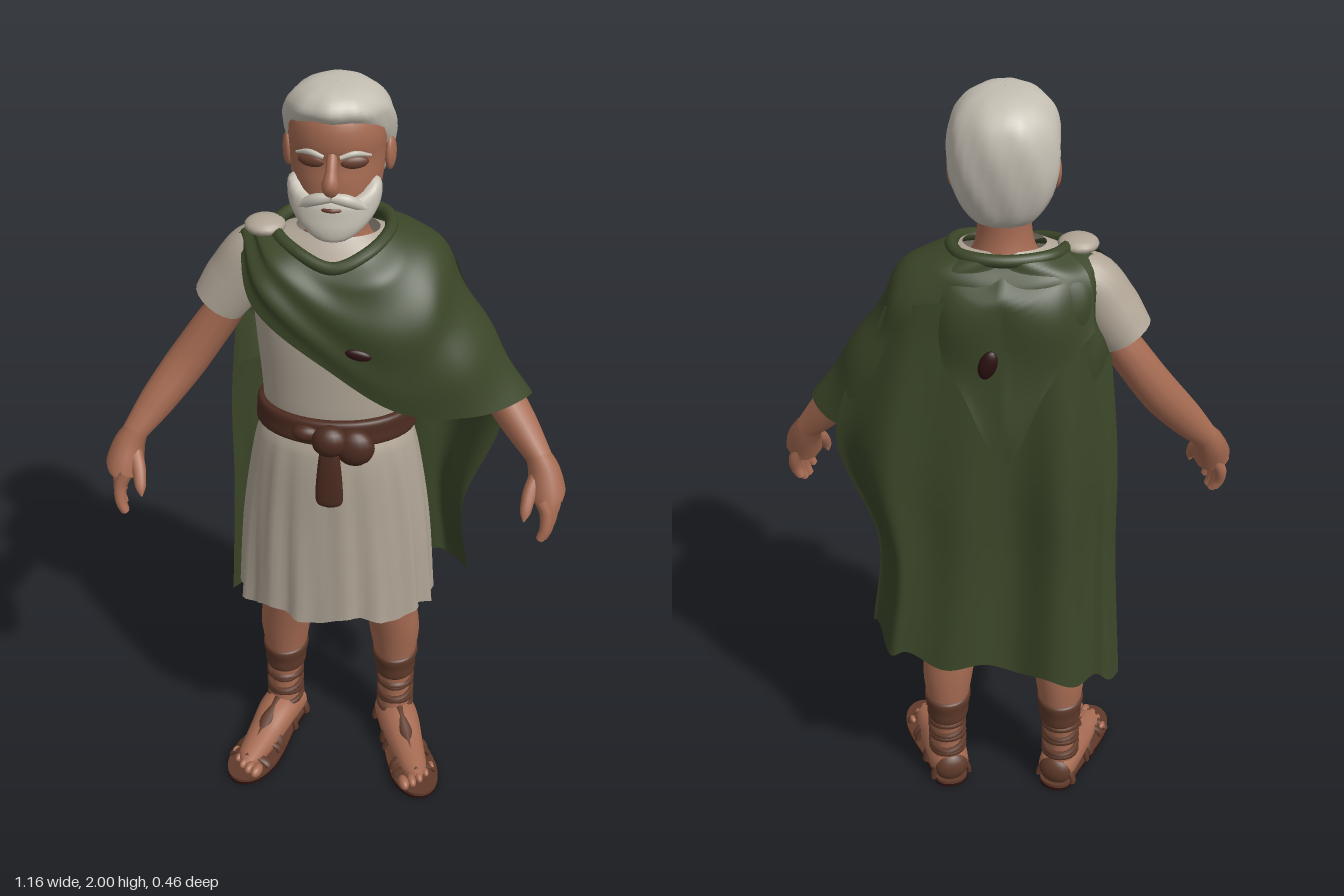
import * as THREE from 'three';
import { mergeVertices } from 'three/addons/utils/BufferGeometryUtils.js';

const V = (x, y, z) => new THREE.Vector3(x, y, z);
const mat = (name, color, side = THREE.FrontSide) => {
  const m = new THREE.MeshStandardMaterial({ color, side });
  m.name = name;
  return m;
};

export function createModel() {
  const M = {
    skin: mat('skin', 0xa66b52),
    eye: mat('eye shadow', 0x693f2f),
    hair: mat('white hair', 0xc4beb2),
    linen: mat('linen', 0xb0a596, THREE.DoubleSide),
    wool: mat('green wool', 0x3b4628, THREE.DoubleSide),
    belt: mat('belt leather', 0x4b2b20),
    strap: mat('sandal leather', 0x5f3a2a),
    sole: mat('dark sole', 0x2c1010),
  };
  const model = new THREE.Group();
  const add = (name, geo, m, parent = model) => {
    const mesh = new THREE.Mesh(geo, m);
    mesh.name = name;
    parent.add(mesh);
    return mesh;
  };

  // Surface from a rule f(u, v); v runs downwards
  function sheet(f, nu, nv) {
    const g = new THREE.PlaneGeometry(1, 1, nu, nv);
    const p = g.attributes.position;
    for (let j = 0, k = 0; j <= nv; j++) {
      for (let i = 0; i <= nu; i++, k++) {
        const q = f(i / nu, j / nv);
        p.setXYZ(k, q.x, q.y, q.z);
      }
    }
    g.deleteAttribute('uv');
    g.deleteAttribute('normal');
    const merged = mergeVertices(g, 1e-5);
    merged.computeVertexNormals();
    return merged;
  }
  // Elliptical rings, top to bottom: [y, half width, front z, back z, centre x]
  function loft(rings, nu = 28, nv = 24, rule = (q) => q) {
    const curve = (f) => new THREE.CatmullRomCurve3(rings.map(f), false, 'centripetal');
    const cols = Array.from({ length: nu }, (_, i) => {
      const a = (i / nu) * Math.PI * 2;
      return curve(([y, r, f, b, cx = 0]) => V(cx + r * Math.sin(a), y, (f + b) / 2 + ((f - b) / 2) * Math.cos(a)));
    });
    return sheet((u, v) => rule(cols[Math.round(u * nu) % nu].getPoint(v), u * Math.PI * 2, v), nu, nv);
  }
  // Draped cloth through columns of points, each listed top to bottom
  function drape(columns, nu, nv, rule) {
    const cols = columns.map((c) => new THREE.CatmullRomCurve3(c.map((p) => V(...p))));
    const rows = Array.from({ length: nv + 1 }, (_, j) => new THREE.CatmullRomCurve3(cols.map((c) => c.getPoint(j / nv))));
    return sheet((u, v) => rule(rows[Math.round(v * nv)].getPoint(u), u, v), nu, nv);
  }
  // Tapered tube: [x, y, z, radius] along a path
  function limb(pts, sides = 14, seg = 20) {
    const curve = new THREE.CatmullRomCurve3(pts.map(([x, y, z]) => V(x, y, z)));
    const radius = new THREE.CatmullRomCurve3(pts.map((p) => V(p[3], 0, 0)));
    const g = new THREE.TubeGeometry(curve, seg, 1, sides);
    const p = g.attributes.position, q = new THREE.Vector3();
    for (let i = 0; i < p.count; i++) {
      const t = Math.floor(i / (sides + 1)) / seg;
      const c = curve.getPointAt(t), r = radius.getPoint(curve.getUtoTmapping(t)).x;
      q.fromBufferAttribute(p, i).sub(c).multiplyScalar(r).add(c);
      p.setXYZ(i, q.x, q.y, q.z);
    }
    return g;
  }
  const ball = (name, m, pos, size, parent) => {
    const b = add(name, new THREE.SphereGeometry(1, 16, 12), m, parent);
    b.position.set(...pos);
    b.scale.set(...size);
    return b;
  };

  // Head and neck
  add('neck', loft([[1.74, .065, .07, -.07], [1.66, .066, .065, -.07], [1.61, .08, .07, -.08], [1.57, .12, .08, -.09]]), M.skin);
  add('face', loft([[1.98, .01, .02, 0], [1.965, .07, .1, -.07], [1.93, .104, .126, -.1], [1.88, .113, .132, -.1],
    [1.84, .111, .124, -.1], [1.79, .108, .13, -.1], [1.74, .1, .13, -.08], [1.7, .085, .125, -.05], [1.67, .04, .1, 0]]), M.skin);
  add('hair', loft([[2, .001, .026, .024], [1.996, .05, .09, -.045], [1.98, .088, .122, -.085], [1.955, .113, .134, -.112],
    [1.925, .126, .112, -.126], [1.88, .131, .075, -.133], [1.82, .125, .015, -.128], [1.76, .106, -.015, -.114], [1.71, .072, -.03, -.092],
    [1.685, .02, -.04, -.06]], 36, 28, (q, a) => {
    const k = 1 + .02 * Math.sin(a * 9 + q.y * 30);
    return V(q.x * k, q.y, q.z * k);
  }), M.hair);
  // The beard climbs towards the ears
  add('beard', loft([[1.765, .06, .1, .02], [1.762, .105, .138, .005], [1.72, .107, .15, .01], [1.685, .085, .155, .03],
    [1.662, .05, .15, .06], [1.655, .005, .12, .1]], 28, 20, (q, a, v) =>
    V(q.x, q.y + (1 - v) * (.045 * Math.abs(Math.sin(a)) ** 4 - .012), q.z)), M.hair);
  add('nose', limb([[0, 1.865, .118, .012], [0, 1.83, .143, .014], [0, 1.802, .157, .021], [0, 1.785, .143, .015], [0, 1.78, .12, .004]]), M.skin);
  add('mouth', limb([[-.032, 1.735, .135, .003], [0, 1.738, .15, .005], [.032, 1.735, .135, .003]], 8), M.eye);
  for (const s of [-1, 1]) {
    ball('eye', M.eye, [s * .048, 1.843, .109], [.034, .016, .013]).rotation.y = s * .3;
    add('eyebrow', limb([[s * .018, 1.86, .131, .005], [s * .05, 1.868, .122, .007], [s * .085, 1.855, .094, .003]], 8), M.hair);
    add('moustache', limb([[0, 1.766, .14, .011], [s * .035, 1.76, .138, .015], [s * .075, 1.735, .117, .01]], 8), M.hair);
    ball('ear', M.skin, [s * .12, 1.815, -.015], [.012, .042, .025]).rotation.y = s * -.25;
  }

  // Tunic with a pleated skirt and one open sleeve
  add('tunic', loft([[1.63, .1, .065, -.07], [1.6, .17, .09, -.1], [1.53, .205, .13, -.13], [1.42, .205, .16, -.14],
    [1.22, .185, .165, -.1], [1.14, .183, .165, -.09], [1.08, .2, .183, -.095], [.85, .235, .188, -.11], [.57, .257, .19, -.12]],
  96, 48, (q, a) => {
    const t = Math.max(0, (1.12 - q.y) / .55);
    const k = 1 + (.012 + .035 * t) * Math.min(1, t * 8) * (.6 * Math.sin(a * 15) + .4 * Math.sin(a * 23 + 1 + q.y * 4));
    return V(q.x * k, q.y + .012 * t * Math.sin(a * 7), .045 + (q.z - .045) * k);
  }), M.linen);
  add('sleeve', limb([[-.14, 1.55, -.02, .06], [-.2, 1.535, -.02, .076], [-.25, 1.47, -.02, .077], [-.297, 1.4, -.02, .068]], 20), M.linen);
  ball('shoulder fold', M.linen, [-.175, 1.625, .005], [.05, .022, .05]);

  // Belt with a knot, hanging end and pouch
  add('belt', loft([[1.185, .18, .16, -.09], [1.18, .196, .178, -.105], [1.15, .2, .183, -.108], [1.12, .2, .184, -.108], [1.115, .18, .16, -.09]], 40), M.belt);
  ball('belt knot', M.belt, [0, 1.14, .19], [.045, .042, .035]);
  ball('pouch', M.belt, [.06, 1.12, .18], [.05, .05, .035]);
  ball('belt loop', M.belt, [-.06, 1.15, .175], [.035, .022, .022]);
  add('belt end', loft([[1.14, .02, .205, .18], [1.08, .028, .212, .188], [.99, .034, .214, .19], [.96, .03, .212, .19], [.95, .004, .204, .196]], 16), M.belt);

  // Cape wrapped over the left arm, from the right shoulder round the front to the back
  const capeColumns = [
    [[-.15, 1.625, .02], [-.19, 1.63, 0], [-.22, 1.615, 0], [-.24, 1.595, 0]],
    [[-.09, 1.605, .09], [-.13, 1.58, .125], [-.16, 1.53, .15], [-.19, 1.48, .145]],
    [[0, 1.585, .12], [0, 1.52, .165], [0, 1.42, .185], [0, 1.33, .18]],
    [[.07, 1.605, .1], [.12, 1.54, .15], [.16, 1.38, .18], [.18, 1.215, .168]],
    [[.11, 1.63, .04], [.2, 1.57, .08], [.285, 1.4, .125], [.37, 1.2, .125]],
    [[.12, 1.64, -.02], [.235, 1.585, -.02], [.348, 1.4, -.01], [.485, 1.2, .005]],
    [[.1, 1.635, -.1], [.2, 1.58, -.12], [.31, 1.4, -.11], [.42, 1.15, -.06]],
    [[0, 1.63, -.12], [0, 1.55, -.165], [.04, 1.4, -.15], [.06, 1.22, -.11]],
    [[-.1, 1.63, -.1], [-.17, 1.58, -.13], [-.2, 1.4, -.13], [-.21, 1.2, -.09]],
    [[-.16, 1.63, 0], [-.22, 1.6, -.03], [-.25, 1.45, -.06], [-.265, 1.2, -.05]],
  ];
  add('cape', drape(capeColumns, 90, 36, (q, u, v) => {
    const k = 1 + .025 * Math.sin(v * 17 + Math.sin(u * 14) * 2) * Math.sin(Math.PI * v);
    return V(q.x * k, q.y, q.z * k);
  }), M.wool);
  const backColumns = [
    [[.28, 1.5, -.1], [.42, 1.12, -.07], [.325, .8, -.07], [.345, .56, -.1]],
    [[.19, 1.53, -.15], [.25, 1.1, -.185], [.23, .8, -.195], [.25, .53, -.21]],
    [[0, 1.56, -.168], [.02, 1.1, -.178], [.02, .8, -.175], [.02, .49, -.19]],
    [[-.16, 1.55, -.145], [-.18, 1.1, -.175], [-.19, .8, -.175], [-.2, .45, -.195]],
    [[-.24, 1.57, -.05], [-.285, 1.1, -.06], [-.29, .8, -.07], [-.31, .43, -.1]],
  ];
  add('cloak back', drape(backColumns, 80, 30, (q, u, v) =>
    V(q.x, q.y + .012 * v * Math.sin(u * 31), q.z + .018 * Math.min(1, v * 2) * Math.sin(u * 24 + v))), M.wool);
  // Folded hood ending in a point, with its dark opening, and the roll at the neck
  const hoodColumns = [
    [[.13, 1.63, -.06], [.18, 1.59, -.1], [.2, 1.46, -.135]],
    [[.09, 1.64, -.1], [.12, 1.57, -.155], [.1, 1.33, -.195]],
    [[0, 1.64, -.12], [0, 1.53, -.182], [-.01, 1.14, -.208]],
    [[-.09, 1.64, -.1], [-.13, 1.57, -.155], [-.11, 1.33, -.195]],
    [[-.15, 1.63, -.05], [-.2, 1.59, -.1], [-.22, 1.46, -.13]],
  ];
  add('hood', drape(hoodColumns, 48, 24, (q, u, v) =>
    V(q.x, q.y, q.z + .009 * Math.sin(Math.PI * u) * Math.sin(v * 12 - Math.abs(u - .5) * 14))), M.wool);
  ball('hood opening', M.sole, [.03, 1.4, -.2], [.022, .038, .012]).rotation.z = .3;
  add('neck roll', new THREE.TubeGeometry(new THREE.CatmullRomCurve3([[-.15, 1.62, .01], [-.09, 1.6, .09], [0, 1.578, .125],
    [.08, 1.605, .09], [.125, 1.628, 0], [.1, 1.632, -.09], [0, 1.63, -.12], [-.11, 1.63, -.085]].map((p) => V(...p)), true), 64, .016, 10, true), M.wool);
  ball('brooch', M.sole, [.068, 1.385, .186], [.032, .014, .009]).rotation.z = -.2;

  for (const s of [-1, 1]) {
    // Arm, palm, fingers and thumb
    const arm = new THREE.Group();
    arm.name = s > 0 ? 'leftArm' : 'rightArm';
    model.add(arm);
    const at = (pts) => limb(pts.map(([x, y, z, r]) => [s * x, y, z, r]), 12, 16);
    add('arm', at([[.2, 1.48, -.02, .05], [.29, 1.365, -.022, .05], [.38, 1.235, -.002, .052], [.455, 1.135, .04, .046], [.515, 1.055, .08, .032]]), M.skin, arm);
    add('palm', at([[.505, 1.07, .075, .03], [.525, 1.03, .092, .041], [.535, .985, .113, .048], [.54, .955, .125, .036], [.54, .94, .13, .006]]), M.skin, arm);
    for (let i = 0; i < 4; i++) {
      const z = .082 + i * .027, x = .552 - i * .007, l = [.095, .115, .12, .105][i];
      add('finger', at([[x - .01, .985, z, .016], [x + .006, .95, z + .005, .0165], [x + .006, .985 - l * .75, z + .015, .014],
        [x - .004, .985 - l, z + .018, .011], [x - .006, .978 - l, z + .018, .001]]), M.skin, arm);
    }
    add('thumb', at([[.515, 1.03, .1, .02], [.494, .99, .14, .018], [.486, .95, .168, .014], [.483, .925, .175, .002]]), M.skin, arm);

    // Leg
    const leg = new THREE.Group();
    leg.name = s > 0 ? 'leftLeg' : 'rightLeg';
    model.add(leg);
    add('leg', loft([[.85, .09, .1, -.08, s * .12], [.55, .075, .065, -.11, s * .135], [.47, .07, .05, -.114, s * .142], [.38, .069, .03, -.122, s * .152],
      [.28, .056, .012, -.118, s * .155], [.16, .042, 0, -.1, s * .158], [.05, .045, .01, -.1, s * .16]]), M.skin, leg);
    // Wrapped sandal shaft
    add('sandal cuff', loft([[.305, .056, .01, -.115, s * .155], [.298, .063, .022, -.126, s * .155], [.26, .058, .016, -.122, s * .155],
      [.225, .054, .01, -.116, s * .156], [.22, .044, 0, -.1, s * .156]]), M.strap, leg);
    [[.2, .2], [.185, -.22], [.155, .18], [.13, -.2], [.105, .15]].forEach(([y, tilt]) => {
      const band = add('ankle strap', new THREE.TorusGeometry(.046, .008, 8, 24), M.strap, leg);
      band.position.set(s * .158, y, -.05);
      band.rotation.set(Math.PI / 2 + tilt, 0, 0);
      band.scale.set(.98, 1.14, 1.3);
    });

    // Foot, turned outwards
    const foot = new THREE.Group();
    foot.name = 'foot';
    foot.position.set(s * .16, 0, -.045);
    foot.rotation.y = s * .34;
    leg.add(foot);
    const instep = add('instep', limb([[0, .055, -.055, .01], [0, .057, -.04, .044], [0, .068, .03, .05], [0, .045, .13, .042], [0, .03, .225, .03], [0, .025, .25, .006]]), M.skin, foot);
    instep.scale.x = 1.15;
    const outline = new THREE.Shape();
    outline.moveTo(-.045, .03);
    outline.bezierCurveTo(-.05, .085, .05, .085, .045, .03);
    outline.bezierCurveTo(.045, -.06, .07, -.11, .069, -.2);
    outline.bezierCurveTo(.06, -.33, -.05, -.33, -.063, -.21);
    outline.bezierCurveTo(-.065, -.11, -.045, -.06, -.045, .03);
    for (const [name, y, h, m] of [['sole', 0, .009, M.sole], ['footbed', .009, .009, M.strap]]) {
      const g = new THREE.ExtrudeGeometry(outline, { depth: h, bevelEnabled: false, curveSegments: 14 });
      add(name, g.rotateX(-Math.PI / 2), m, foot).position.y = y;
    }
    for (let i = 0; i < 5; i++) {
      const r = .017 - i * .0018;
      ball('toe', M.skin, [s * (-.042 + i * .023), .03, .257 - .006 * i * i / 2], [r * .85, r, r * 1.5], foot);
    }
    // Straps over the foot
    [[.215, .058, .042, 0], [.165, .058, .052, .3], [.115, .058, .066, -.3], [.055, .056, .084, .25], [-.035, .052, .072, 0]].forEach(([z, rx, ry, turn]) => {
      const band = add('foot strap', new THREE.TorusGeometry(1, .14, 8, 20, Math.PI), M.strap, foot);
      band.scale.set(rx, ry - .016, .09);
      band.position.set(0, .017, z);
      band.rotation.y = turn;
    });
    add('centre strap', limb([[0, .115, .015, .012], [0, .1, .07, .012], [0, .074, .14, .012], [0, .047, .235, .008]], 8), M.strap, foot);
    ball('heel guard', M.strap, [0, .052, -.04], [.047, .045, .03], foot);
  }
  return model;
}
